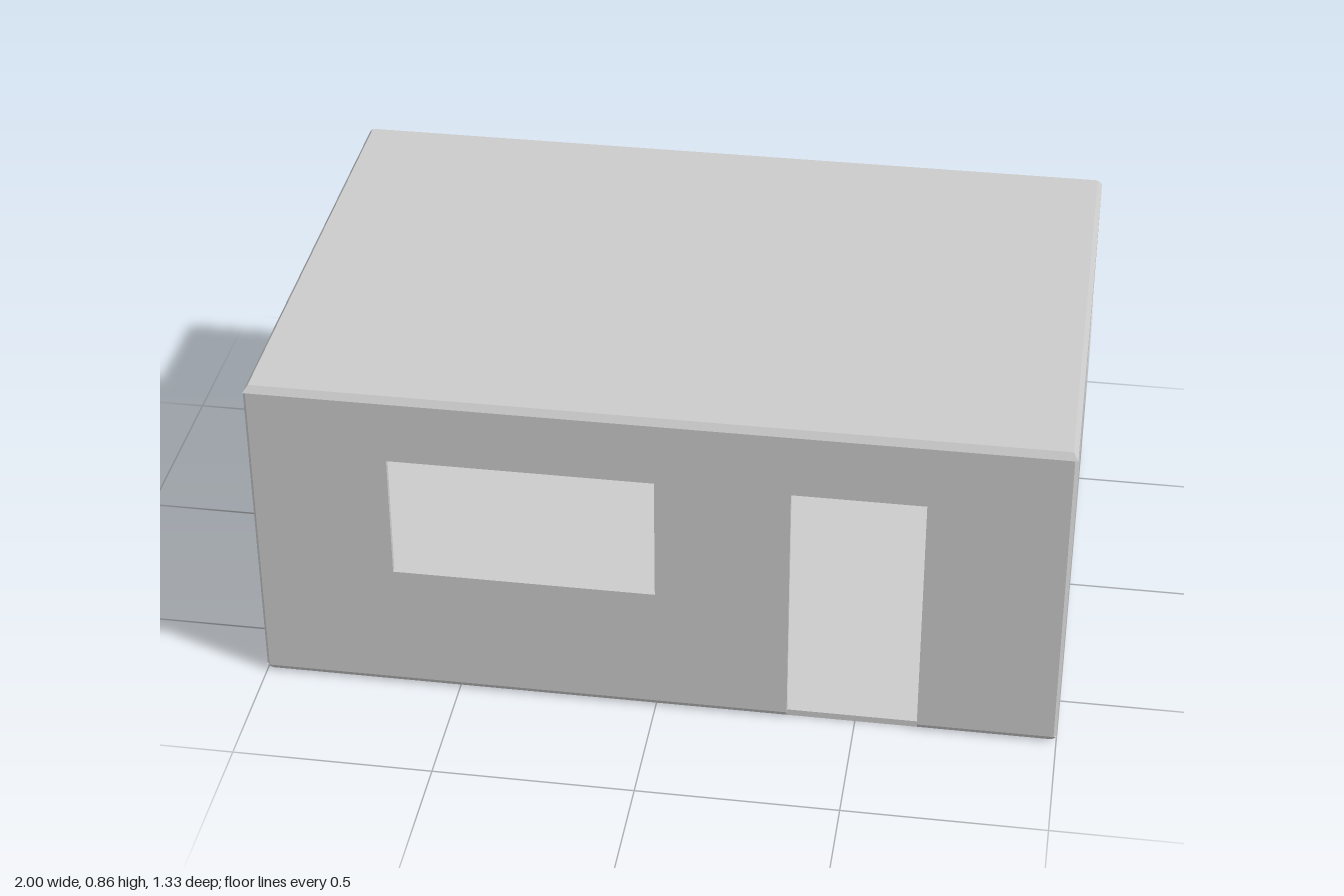
import * as THREE from 'three';

const W = 1, D = 0.667, H = 0.855;          // half width, half depth, height
const SLAB = 0.017, WALL = 0.014, COVE = 0.02;
const DOOR = [0.33, 0.655], OPEN_TOP = 0.675;

const material = new THREE.MeshStandardMaterial({ color: 0xcccccc, flatShading: true });

function polygon(points) {
  return new THREE.Shape(points.map(([x, y]) => new THREE.Vector2(x, y)));
}

// Changes each vertex by a rule
function reshape(geometry, rule) {
  const p = geometry.attributes.position;
  const v = new THREE.Vector3();
  for (let i = 0; i < p.count; i++) {
    rule(v.fromBufferAttribute(p, i));
    p.setXYZ(i, v.x, v.y, v.z);
  }
  geometry.computeVertexNormals();
  return geometry;
}

export function createModel() {
  const house = new THREE.Group();
  house.name = 'house';

  function add(name, geometry, x = 0, y = 0, z = 0, turn = 0) {
    const mesh = new THREE.Mesh(geometry, material);
    mesh.name = name;
    mesh.position.set(x, y, z);
    mesh.rotation.y = turn;
    house.add(mesh);
  }

  // Slab lying flat; the outer face is drawn in to bevel its edge
  function slab(points, bevelTop) {
    const g = new THREE.ExtrudeGeometry(polygon(points), { depth: SLAB, bevelEnabled: false });
    g.rotateX(-Math.PI / 2);
    return reshape(g, (v) => {
      if ((v.y > SLAB / 2) !== bevelTop) return;
      v.x = THREE.MathUtils.clamp(v.x, -W + 0.012, W - 0.012);
      v.z = THREE.MathUtils.clamp(v.z, -D + 0.012, D - 0.012);
    });
  }

  // Floor with a notch at the doorway, and roof
  const front = -D, back = D;
  add('floor', slab([
    [-W, front], [DOOR[0], front], [DOOR[0], front + 0.012], [DOOR[1], front + 0.012],
    [DOOR[1], front], [W, front], [W, back], [-W, back],
  ], false));
  add('roof', slab([[-W, front], [W, front], [W, back], [-W, back]], true), 0, H - SLAB);

  // Wall panel whose outer half tapers at the vertical corners
  function wall(shape, half) {
    const g = new THREE.ExtrudeGeometry(shape, { depth: WALL, steps: 2, bevelEnabled: false });
    return reshape(g, (v) => {
      if (v.z > WALL * 0.75) v.x = THREE.MathUtils.clamp(v.x, -half + WALL / 2, half - WALL / 2);
    });
  }
  const low = SLAB, high = H - SLAB;
  const plain = (half) => polygon([[-half, low], [half, low], [half, high], [-half, high]]);

  // Front wall with doorway and window
  const frontShape = polygon([
    [-W, low], [DOOR[0], low], [DOOR[0], OPEN_TOP], [DOOR[1], OPEN_TOP],
    [DOOR[1], low], [W, low], [W, high], [-W, high],
  ]);
  frontShape.holes.push(new THREE.Path(
    polygon([[-0.655, 0.345], [-0.655, OPEN_TOP], [0, OPEN_TOP], [0, 0.345]]).getPoints()));
  add('frontWall', wall(frontShape, W), 0, 0, D - WALL);

  // Back and side walls
  add('backWall', wall(plain(W), W), 0, 0, -D + WALL, Math.PI);
  add('leftWall', wall(plain(D), D), W - WALL, 0, 0, Math.PI / 2);
  add('rightWall', wall(plain(D), D), -W + WALL, 0, 0, -Math.PI / 2);

  // Sloped fillets where walls meet floor and ceiling
  function cove(length, up) {
    const g = new THREE.ExtrudeGeometry(
      polygon([[0, 0], [COVE, 0], [0, up * COVE]]), { depth: length, bevelEnabled: false });
    return g.translate(0, 0, -length / 2);
  }
  const ix = W - WALL, iz = D - WALL;
  for (const [name, y, up] of [['floorCove', low, 1], ['ceilingCove', high, -1]]) {
    add(name, cove(2 * iz, up), -ix, y, 0, 0);
    add(name, cove(2 * iz, up), ix, y, 0, Math.PI);
    add(name, cove(2 * ix, up), 0, y, -iz, -Math.PI / 2);
    // The front floor fillet stops on either side of the doorway
    const runs = up > 0 ? [[-ix, DOOR[0]], [DOOR[1], ix]] : [[-ix, ix]];
    for (const [a, b] of runs) add(name, cove(b - a, up), (a + b) / 2, y, iz, Math.PI / 2);
  }

  return house;
}
